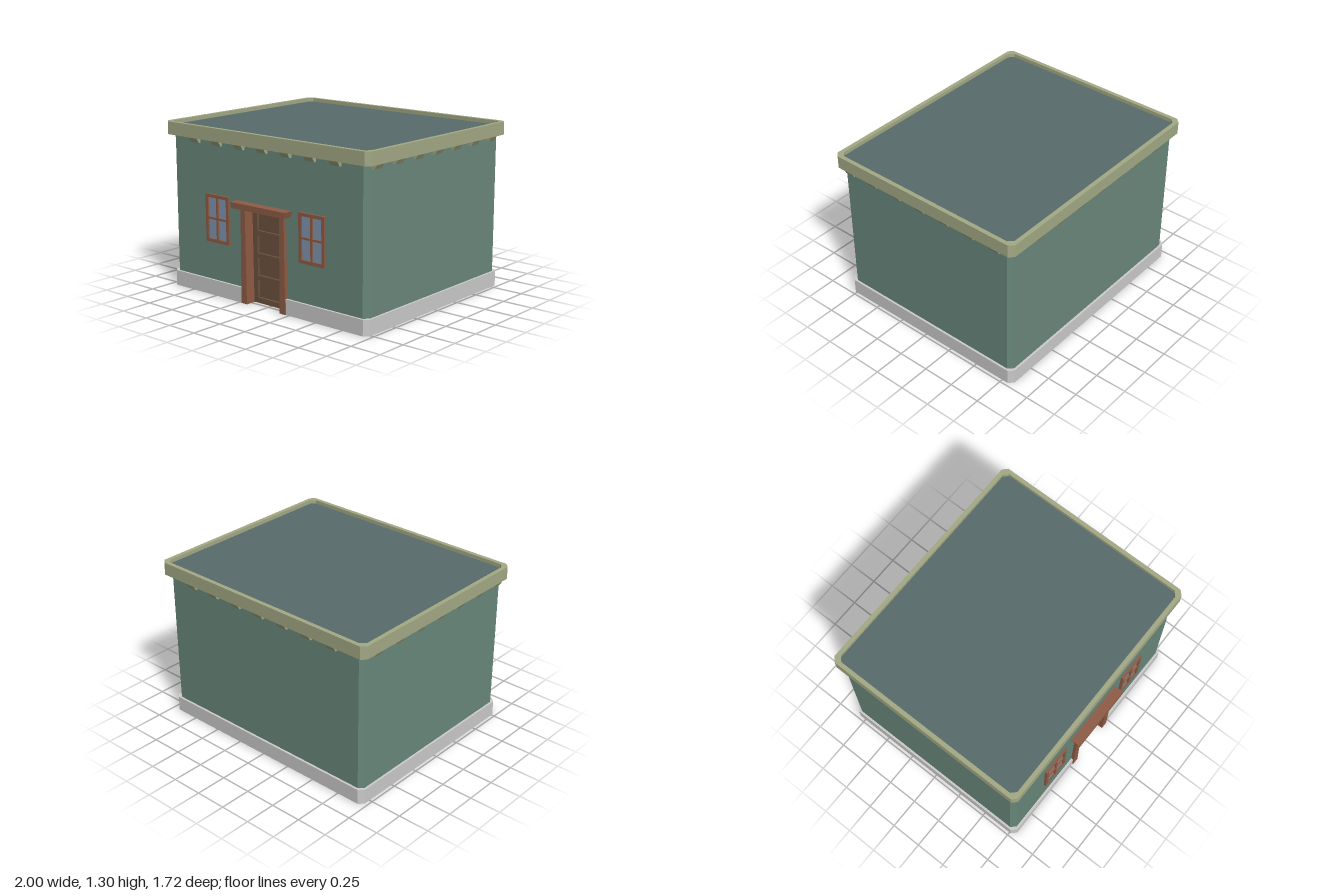
import * as THREE from 'three';

const mat = (color) => new THREE.MeshStandardMaterial({ color, flatShading: true });
const WALL = mat(0x6a887c), TRIM = mat(0xa3aa85), STONE = mat(0xcccccc), ROOF = mat(0x576b6b);
const WOOD = mat(0x8f5c45), DOOR = mat(0x6d523e), GLASS = mat(0x8096b0);
const ZC = -0.02; // centre of the building in depth

const toShape = (pts) => new THREE.Shape(pts.map(([x, y]) => new THREE.Vector2(x, y)));
const rect = (x0, x1, y0, y1) => [[x0, y0], [x1, y0], [x1, y1], [x0, y1]];
const extrude = (shape, depth) => new THREE.ExtrudeGeometry(shape, { depth, bevelEnabled: false });

function add(parent, name, geometry, material) {
  const mesh = new THREE.Mesh(geometry, material);
  mesh.name = name;
  parent.add(mesh);
  return mesh;
}

// Outline facing the front, pushed from z0 to z1
const frontExtrude = (shape, z0, z1) => extrude(shape, z1 - z0).translate(0, 0, z0);

// Floor plan (x, -z) raised from y0 to y1
const planExtrude = (shape, y0, y1) =>
  extrude(shape, y1 - y0).rotateX(-Math.PI / 2).translate(0, y0, 0);

// Chamfered rectangle, starting and ending on its front edge
function plan(hx, hz, c) {
  const f = -(ZC + hz), b = -(ZC - hz);
  return [[hx - c, f], [hx, f + c], [hx, b - c], [hx - c, b],
    [-hx + c, b], [-hx, b - c], [-hx, f + c], [-hx + c, f]];
}

function makeWindow(x) {
  const g = new THREE.Group();
  g.name = 'window';
  const frame = toShape(rect(-0.12, 0.12, 0.42, 0.79));
  for (const [x0, x1] of [[-0.095, -0.008], [0.008, 0.095]])
    for (const [y0, y1] of [[0.445, 0.597], [0.613, 0.765]])
      frame.holes.push(toShape(rect(x0, x1, y0, y1)));
  add(g, 'windowFrame', frontExtrude(frame, 0.77, 0.8), WOOD);
  add(g, 'windowGlass', new THREE.BoxGeometry(0.2, 0.33, 0.02), GLASS).position.set(0, 0.605, 0.777);
  g.position.x = x;
  return g;
}

function makeDoorway() {
  const g = new THREE.Group();
  g.name = 'doorway';
  // Panelled door set back in the opening
  const leaf = toShape(rect(-0.19, 0.19, 0.004, 0.739));
  for (let i = 0; i < 4; i++) {
    const y = 0.045 + i * 0.172;
    leaf.holes.push(toShape(rect(-0.125, 0.125, y, y + 0.135)));
  }
  add(g, 'doorLeaf', frontExtrude(leaf, 0.695, 0.725), DOOR);
  add(g, 'doorPanels', new THREE.BoxGeometry(0.37, 0.72, 0.02), DOOR).position.set(0, 0.37, 0.695);
  // Tapered jambs and flared lintel
  for (const s of [-1, 1]) {
    const pts = [[0.165, 0.002], [0.222, 0.002], [0.215, 0.738], [0.172, 0.738]];
    add(g, 'doorJamb', frontExtrude(toShape(pts.map(([x, y]) => [s * x, y])), 0.69, 0.806), WOOD);
  }
  const lintel = toShape([[-0.262, 0.735], [0.262, 0.735], [0.272, 0.78], [-0.272, 0.78]]);
  add(g, 'doorLintel', frontExtrude(lintel, 0.77, 0.857), WOOD);
  return g;
}

// Wedge blocks under the cornice, along all four sides
function makeBrackets() {
  const g = new THREE.Group();
  g.name = 'brackets';
  const profile = toShape([[-0.02, 1.165], [0.02, 1.165], [0.04, 1.201], [-0.02, 1.201]]);
  const geo = extrude(profile, 0.082).translate(0, 0, -0.041);
  for (let i = -3; i <= 3; i++) {
    const t = i * 0.23;
    const spots = [[0.958, t, 0], [-0.958, t, Math.PI], [t, 0.78, -Math.PI / 2], [t, -0.82, Math.PI / 2]];
    for (const [x, z, turn] of spots) {
      const b = add(g, 'bracket', geo, TRIM);
      b.position.set(x, 0, z);
      b.rotation.y = turn;
    }
  }
  return g;
}

export function createModel() {
  const model = new THREE.Group();
  model.name = 'house';

  // Walls: lower part with the door recess, plain upper part
  const wall = plan(0.958, 0.8, 0.036);
  const recess = [[-0.2, -0.78], [-0.2, -0.7], [0.2, -0.7], [0.2, -0.78]];
  add(model, 'lowerWalls', planExtrude(toShape([...wall, ...recess]), 0.003, 0.739), WALL);
  add(model, 'upperWalls', planExtrude(toShape(wall), 0.739, 1.24), WALL);

  // Stone base, open at the door
  const outer = [[0.2, -0.798], ...plan(0.975, 0.818, 0.036), [-0.2, -0.798]];
  const inner = [[0.2, -0.77], ...plan(0.948, 0.79, 0.036), [-0.2, -0.77]].reverse();
  add(model, 'base', planExtrude(toShape([...outer, ...inner]), 0, 0.12), STONE);

  // Cornice rim around a sunken flat roof
  const rim = toShape(plan(1, 0.84, 0.036));
  rim.holes.push(toShape(plan(0.967, 0.807, 0.036)));
  add(model, 'cornice', planExtrude(rim, 1.2, 1.3), TRIM);
  add(model, 'roof', planExtrude(toShape(plan(0.98, 0.82, 0.036)), 1.21, 1.27), ROOF);
  model.add(makeBrackets());

  model.add(makeDoorway(), makeWindow(-0.47), makeWindow(0.47));
  return model;
}
